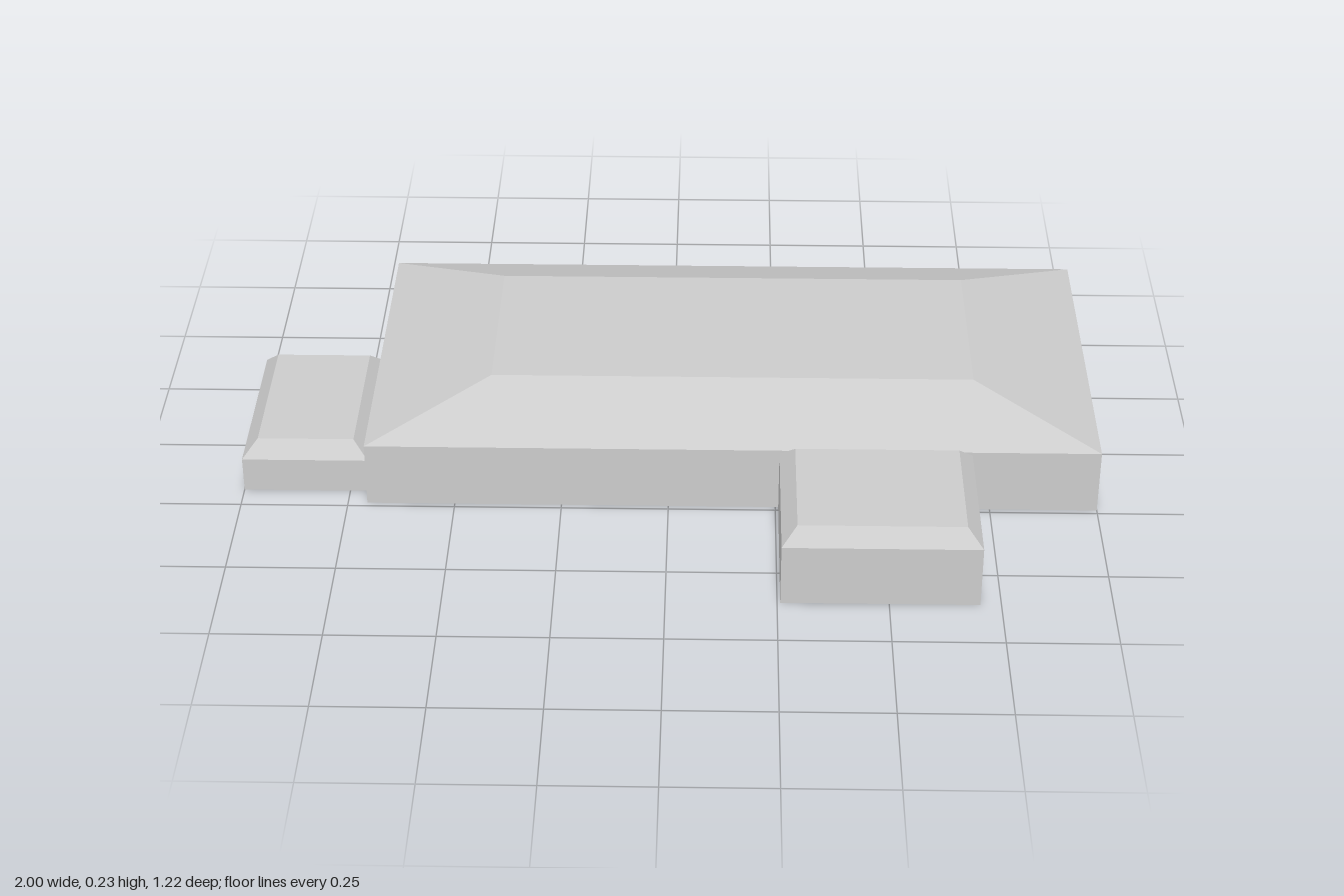
import * as THREE from 'three';

const material = new THREE.MeshStandardMaterial({ color: 0xcccccc, flatShading: true });

// A block with upright walls up to the eave and sloped sides up to a smaller flat top.
// base and top are [x0, x1, z0, z1] outlines.
function hippedBlock(name, base, top, eave, height) {
  const geometry = new THREE.BoxGeometry(1, 2, 1, 1, 2, 1);
  const p = geometry.attributes.position;
  const levels = [[base, 0], [base, eave], [top, height]];
  for (let i = 0; i < p.count; i++) {
    const [[x0, x1, z0, z1], y] = levels[Math.round(p.getY(i)) + 1];
    p.setXYZ(i, p.getX(i) < 0 ? x0 : x1, y, p.getZ(i) < 0 ? z0 : z1);
  }
  const flat = geometry.toNonIndexed();
  flat.computeVertexNormals();
  const mesh = new THREE.Mesh(flat, material);
  mesh.name = name;
  return mesh;
}

// Even inset of an outline, for the small bevelled roofs
const inset = ([x0, x1, z0, z1], d) => [x0 + d, x1 - d, z0 + d, z1 - d];

export function createModel() {
  const group = new THREE.Group();
  group.name = 'building';

  // Main hall with its low hipped roof
  group.add(hippedBlock('mainHall', [-0.705, 1, -0.612, 0.237], [-0.42, 0.713, -0.42, 0.043], 0.158, 0.235));

  // Front and side annexes
  const front = [0.257, 0.703, 0.237, 0.612];
  const side = [-1, -0.705, -0.255, 0.188];
  group.add(hippedBlock('frontAnnex', front, inset(front, 0.035), 0.15, 0.187));
  group.add(hippedBlock('sideAnnex', side, inset(side, 0.035), 0.085, 0.122));

  return group;
}
